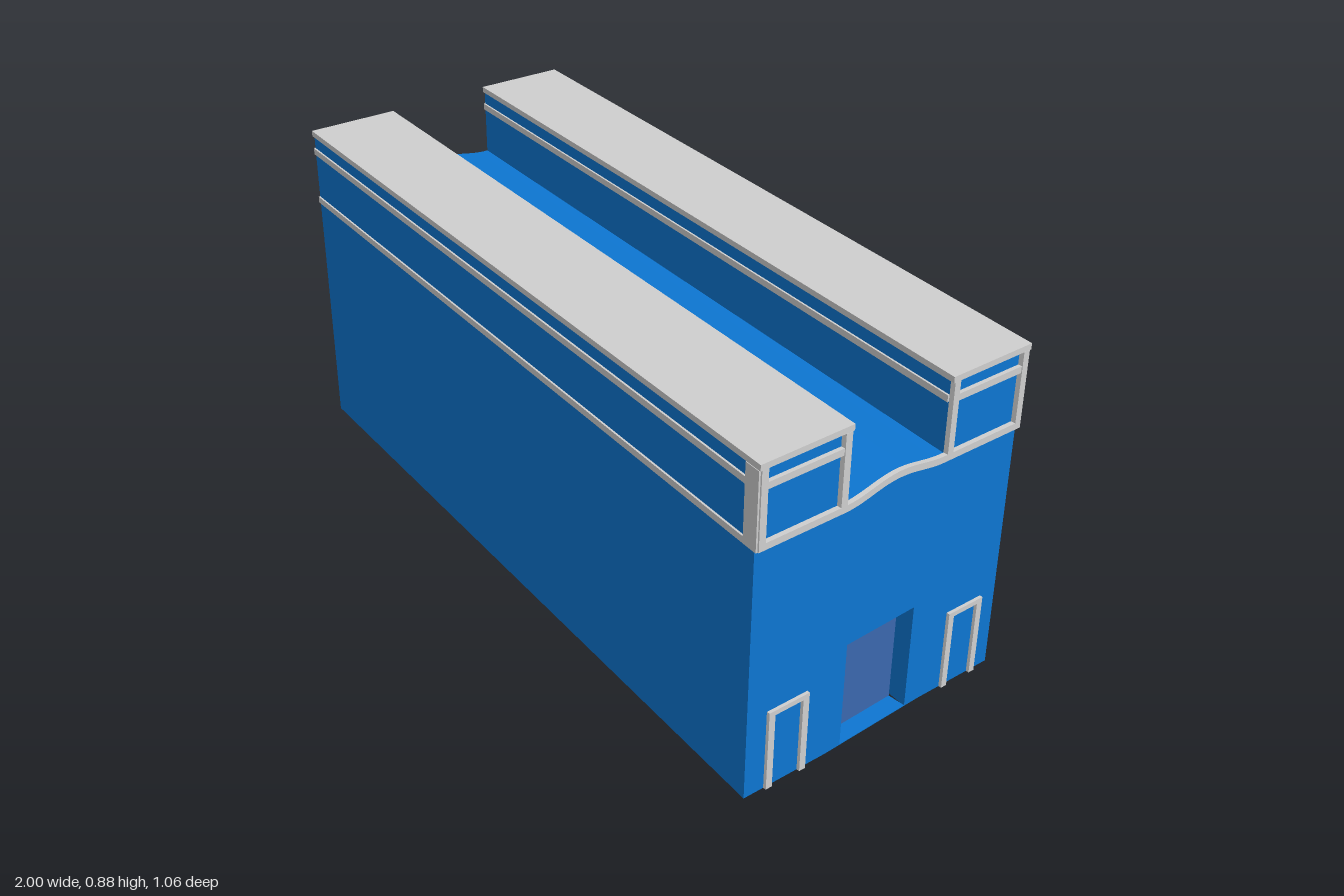
import * as THREE from 'three';

const material = (name, color) => {
  const m = new THREE.MeshStandardMaterial({ color });
  m.name = name;
  return m;
};

// Plan of the building as [x, z]: far end and door end, from front to back.
// Strips 0-1 and 2-3 carry the raised roof blocks, strip 1-2 is the channel.
const FAR_END = [[-1.0, 0.235], [-0.965, 0.002], [-0.935, -0.298], [-0.9, -0.525]];
const DOOR_END = [[0.92, 0.52], [0.945, 0.285], [0.965, -0.012], [0.988, -0.235]];

const lerp2 = (a, b, k) => [a[0] + (b[0] - a[0]) * k, a[1] + (b[1] - a[1]) * k];
const along = (line, t) => {
  const i = Math.min(2, Math.floor(t));
  return lerp2(line[i], line[i + 1], t - i);
};
const planPoint = (t, u) => lerp2(along(FAR_END, t), along(DOOR_END, t), u);
const shift = (p, dx, dz = 0) => [p[0] + dx, p[1] + dz];

// Height of the channel floor, a gentle hump between the roof blocks
const floorHeight = (t) =>
  t > 1 && t < 2 ? 0.68 + 0.01 * (1 - Math.cos((t - 1) * Math.PI * 2)) : 0.68;

// Closed solid from stations { l, r, y0, y1 } ordered from front to back
function loft(stations) {
  const positions = [];
  const quad = (...corners) => {
    for (const i of [0, 1, 2, 0, 2, 3]) positions.push(...corners[i]);
  };
  const at = (p, y) => [p[0], y, p[1]];
  const s = stations.map(({ l, r, y0, y1 }) => ({
    lb: at(l, y0), lt: at(l, y1), rb: at(r, y0), rt: at(r, y1),
  }));
  for (let i = 0; i < s.length - 1; i++) {
    const a = s[i], b = s[i + 1];
    quad(a.lt, a.rt, b.rt, b.lt);
    quad(a.lb, b.lb, b.rb, a.rb);
    quad(a.rb, b.rb, b.rt, a.rt);
    quad(b.lb, a.lb, a.lt, b.lt);
  }
  const f = s[0], k = s[s.length - 1];
  quad(f.lb, f.rb, f.rt, f.lt);
  quad(k.rb, k.lb, k.lt, k.rt);
  const geometry = new THREE.BufferGeometry();
  geometry.setAttribute('position', new THREE.Float32BufferAttribute(positions, 3));
  geometry.computeVertexNormals();
  return geometry;
}

export function createModel() {
  const model = new THREE.Group();
  model.name = 'building';
  const blue = material('wall blue', 0x0d76d2);
  const grey = material('trim grey', 0xcfcfcf);
  const slate = material('door blue', 0x3b68ae);

  const add = (name, mat, stations) => {
    const mesh = new THREE.Mesh(loft(stations), mat);
    mesh.name = name;
    model.add(mesh);
  };
  // Full-length solid between plan lines ts
  const solid = (name, ts, y0, top, inset = 0) =>
    add(name, blue, ts.map((t) => ({
      l: along(FAR_END, t), r: shift(along(DOOR_END, t), -inset), y0,
      y1: typeof top === 'function' ? top(t) : top,
    })));
  // Trim on the door end
  const endTrim = (name, t0, t1, y0, y1, depth = 0.012) =>
    add(name, grey, [t0, t1].map((t) => ({
      l: along(DOOR_END, t), r: shift(along(DOOR_END, t), depth), y0, y1,
    })));
  // Trim on a long wall; dir is +1 facing front, -1 facing back
  const sideTrim = (name, t, dir, u0, u1, y0, y1) => {
    const offsets = dir > 0 ? [0.005, 0] : [0, -0.005];
    add(name, grey, offsets.map((o) => ({
      l: shift(planPoint(t, u0), 0, o), r: shift(planPoint(t, u1), 0, o), y0, y1,
    })));
  };

  // Main body, with the doorway recess in its lower part
  const DOOR_TOP = 0.287, RECESS = 0.05, D0 = 1.15, D1 = 1.85;
  const curve = Array.from({ length: 21 }, (_, i) => 1 + i / 20);
  solid('lowerWallFront', [0, 1, D0], 0, DOOR_TOP);
  solid('lowerWallMiddle', [D0, D1], 0, DOOR_TOP, RECESS);
  solid('lowerWallBack', [D1, 2, 3], 0, DOOR_TOP);
  solid('upperWall', [0, ...curve, 3], DOOR_TOP, floorHeight);

  // Door panel and doorway floor
  const doorway = (depth) => [D0, D1].map((t) => {
    const r = along(DOOR_END, t);
    return { l: shift(r, -RECESS), r: shift(r, -RECESS + depth), y0: 0, y1: DOOR_TOP };
  });
  add('door', slate, doorway(0.004));
  add('doorwayFloor', blue, doorway(RECESS).map((s) => ({ ...s, y1: 0.002 })));

  // Raised roof blocks with caps, end posts and bands
  for (const t of [0, 2]) {
    solid('roofBlock', [t, t + 1], 0.68, 0.862);
    add('roofCap', grey, [[t, 0.005], [t + 1, -0.005]].map(([k, dz]) => ({
      l: shift(along(FAR_END, k), -0.002, dz),
      r: shift(along(DOOR_END, k), 0.012, dz), y0: 0.86, y1: 0.875,
    })));
    endTrim('endPost', t, t + 0.075, 0.665, 0.86);
    endTrim('endPost', t + 0.925, t + 1, 0.665, 0.86);
    endTrim('endBand', t, t + 1, 0.808, 0.825, 0.01);
    add('farEndBand', grey, [t, t + 1].map((k) => ({
      l: shift(along(FAR_END, k), -0.004), r: along(FAR_END, k), y0: 0.808, y1: 0.825,
    })));
  }

  // Curved cornice across the door end
  add('curvedCornice', grey, [0, ...curve, 3].map((t) => ({
    l: along(DOOR_END, t), r: shift(along(DOOR_END, t), 0.012),
    y0: floorHeight(t) - 0.016, y1: floorHeight(t) + 0.001,
  })));

  // Bands along the long walls
  sideTrim('frontLowBand', 0, 1, 0, 1, 0.665, 0.682);
  sideTrim('frontMidBand', 0, 1, 0, 1, 0.808, 0.825);
  sideTrim('frontCornerPost', 0, 1, 0.983, 1.005, 0.665, 0.86);
  sideTrim('backLowBand', 3, -1, 0, 1, 0.665, 0.682);
  sideTrim('backMidBand', 3, -1, 0.04, 0.985, 0.808, 0.825);
  sideTrim('innerBand', 1, -1, 0, 1, 0.808, 0.825);
  sideTrim('innerBand', 2, 1, 0, 1, 0.808, 0.825);

  // Frames of the two side doors
  for (const [t0, t1] of [[0.234, 0.715], [2.305, 2.785]]) {
    endTrim('sideDoorFrame', t0, t0 + 0.073, 0, 0.217, 0.008);
    endTrim('sideDoorFrame', t1 - 0.073, t1, 0, 0.217, 0.008);
    endTrim('sideDoorLintel', t0 + 0.073, t1 - 0.073, 0.204, 0.217, 0.008);
  }
  return model;
}
